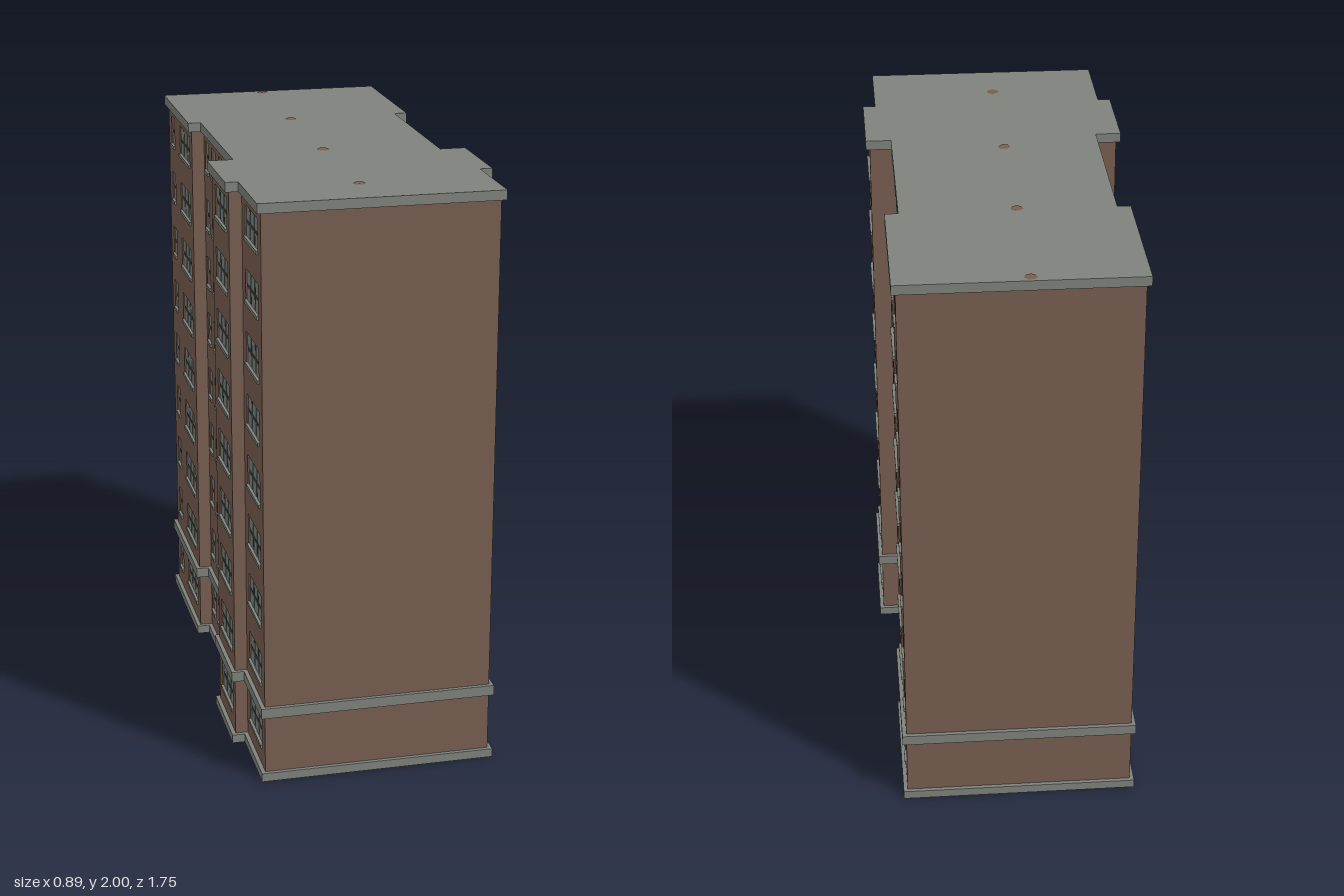
import * as THREE from 'three';
import { mergeGeometries } from 'three/addons/utils/BufferGeometryUtils.js';

const mat = (name, color) => Object.assign(new THREE.MeshStandardMaterial({ color }), { name });

const T = 0.015; // wall thickness
// Facade sections along each side: z start, z end, half width of the building there
const SECTIONS = [
  { z0: 0.86, z1: 0.56, hw: 0.39, windows: [[0.81, 0.61]] },
  { z0: 0.56, z1: 0.27, hw: 0.433, windows: [[0.52, 0.325]] },
  { z0: 0.27, z1: -0.365, hw: 0.345,
    windows: [[0.25, 0.185], [0.125, 0.06], [-0.025, -0.087], [-0.155, -0.218], [-0.277, -0.34]] },
  { z0: -0.365, z1: -0.86, hw: 0.39, windows: [[-0.415, -0.617], [-0.737, -0.8]] },
];
const SILLS = [0.1, ...Array.from({ length: 8 }, (_, k) => 0.33 + k * 0.2135)];
const WIN_H = 0.11;
const ENTRY = { z0: 0.16, z1: 0.015, y0: 0.03, y1: 0.24, back: 0.275 };

function box(x0, x1, y0, y1, z0, z1) {
  return new THREE.BoxGeometry(Math.abs(x1 - x0), Math.abs(y1 - y0), Math.abs(z1 - z0))
    .translate((x0 + x1) / 2, (y0 + y1) / 2, (z0 + z1) / 2);
}

// Stepped footprint, grown outwards by d
function footprint(d) {
  const right = [
    [0.39, 0.86 + d], [0.39, 0.56 + d], [0.433, 0.56 + d], [0.433, 0.27 - d],
    [0.345, 0.27 - d], [0.345, -0.365 + d], [0.39, -0.365 + d], [0.39, -0.86 - d],
  ].map(([x, z]) => new THREE.Vector2(x + d, -z));
  const left = right.map((p) => new THREE.Vector2(-p.x, p.y)).reverse();
  return [...right, ...left];
}

// Horizontal course following the footprint, hollow or solid
function course(y, height, hollow) {
  const shape = new THREE.Shape(footprint(0.014));
  if (hollow) shape.holes.push(new THREE.Path(footprint(-T)));
  return new THREE.ExtrudeGeometry(shape, { depth: height, bevelEnabled: false })
    .rotateX(-Math.PI / 2).translate(0, y, 0);
}

function rectPath(u0, u1, y0, y1, Type) {
  return new Type([[u0, y0], [u1, y0], [u1, y1], [u0, y1]].map((p) => new THREE.Vector2(...p)));
}

export function createModel() {
  const brick = mat('brick', 0x775e50);
  const stone = mat('stone', 0x7f837c);
  const glass = mat('glass', 0x7f857f);
  const frame = mat('darkFrame', 0x3b403c);
  brick.side = THREE.DoubleSide;

  const model = new THREE.Group();
  model.name = 'apartmentBlock';
  const add = (name, geos, material, parent = model) => {
    const mesh = new THREE.Mesh(Array.isArray(geos) ? mergeGeometries(geos) : geos, material);
    mesh.name = name;
    parent.add(mesh);
  };

  for (const s of [1, -1]) {
    const side = new THREE.Group();
    side.name = s > 0 ? 'leftFacade' : 'rightFacade';
    model.add(side);
    const walls = [], frames = [], panes = [], sills = [];

    for (const { z0, z1, hw, windows } of SECTIONS) {
      const wall = rectPath(-z0, -z1, 0.005, 1.98, THREE.Shape);
      const recessed = hw === 0.345;
      if (recessed) wall.holes.push(rectPath(-ENTRY.z0, -ENTRY.z1, ENTRY.y0, ENTRY.y1, THREE.Path));
      const mid = s * (hw - T * 0.55);

      for (const [a, b] of windows) {
        const cols = a - b > 0.1 ? 3 : 1;
        for (const y of SILLS) {
          if (recessed && y === SILLS[0] && a < ENTRY.z0 && b > ENTRY.z1) continue; // doorway
          wall.holes.push(rectPath(-a, -b, y, y + WIN_H, THREE.Path));
          frames.push(box(mid - 0.003, mid + 0.003, y, y + WIN_H, b, a));
          sills.push(box(s * (hw - 0.01), s * (hw + 0.006), y - 0.007, y + 0.005, b - 0.002, a + 0.002));
          // Two rows of panes in each window
          const w = (a - b) / cols, h = WIN_H / 2, g = 0.005;
          for (let c = 0; c < cols; c++) {
            for (let r = 0; r < 2; r++) {
              panes.push(box(mid - 0.0045, mid + 0.0045, y + r * h + g, y + (r + 1) * h - g,
                b + c * w + g, b + (c + 1) * w - g));
            }
          }
        }
      }
      walls.push(new THREE.ExtrudeGeometry(wall, { depth: T, bevelEnabled: false })
        .rotateY(Math.PI / 2).translate(s > 0 ? hw - T : -hw, 0, 0));
    }
    add('brickWalls', walls, brick, side);
    add('windowFrames', frames, frame, side);
    add('windowPanes', panes, glass, side);
    add('windowSills', sills, stone, side);

    // Return walls where the facade steps in and out
    add('returnWalls', [
      box(s * 0.376, s * 0.433, 0.005, 1.98, 0.56 - T, 0.56),
      box(s * 0.331, s * 0.433, 0.005, 1.98, 0.27, 0.27 + T),
      box(s * 0.331, s * 0.39, 0.005, 1.98, -0.365 - T, -0.365),
    ], brick, side);

    // Recessed entrance with door and floor slab
    const { z0, z1, y0, y1, back } = ENTRY;
    add('entranceWalls', [
      box(s * (back - 0.01), s * back, y0, y1, z1, z0),
      box(s * back, s * 0.344, y0, y1, z0, z0 + 0.008),
      box(s * back, s * 0.344, y0, y1, z1 - 0.008, z1),
      box(s * back, s * 0.344, y1, y1 + 0.008, z1, z0),
    ], brick, side);
    add('doorFrame', box(s * (back - 0.012), s * (back + 0.003), y0, 0.197, 0.045, 0.141), frame, side);
    add('door', box(s * (back - 0.014), s * (back + 0.006), y0, 0.191, 0.051, 0.135), glass, side);
    add('entranceSlab', box(s * 0.265, s * 0.35, 0.004, 0.03, -0.365, 0.27), stone, side);
  }

  // Blank end walls
  for (const s of [1, -1]) {
    add(s > 0 ? 'frontWall' : 'backWall',
      box(-0.39, 0.39, 0.005, 1.98, s * (0.86 - T), s * 0.86), brick);
  }

  // Stone courses and flat roof
  add('baseCourse', course(0, 0.03, true), stone);
  add('bandCourse', course(0.234, 0.036, true), stone);
  add('roofCornice', course(1.965, 0.033, false), stone);

  // Small low caps along the roof
  add('roofCaps', [-0.845, -0.34, 0.17, 0.68].map((z) =>
    new THREE.CylinderGeometry(0.018, 0.03, 0.006, 7).translate(-0.03, 1.997, z)), brick);

  return model;
}
